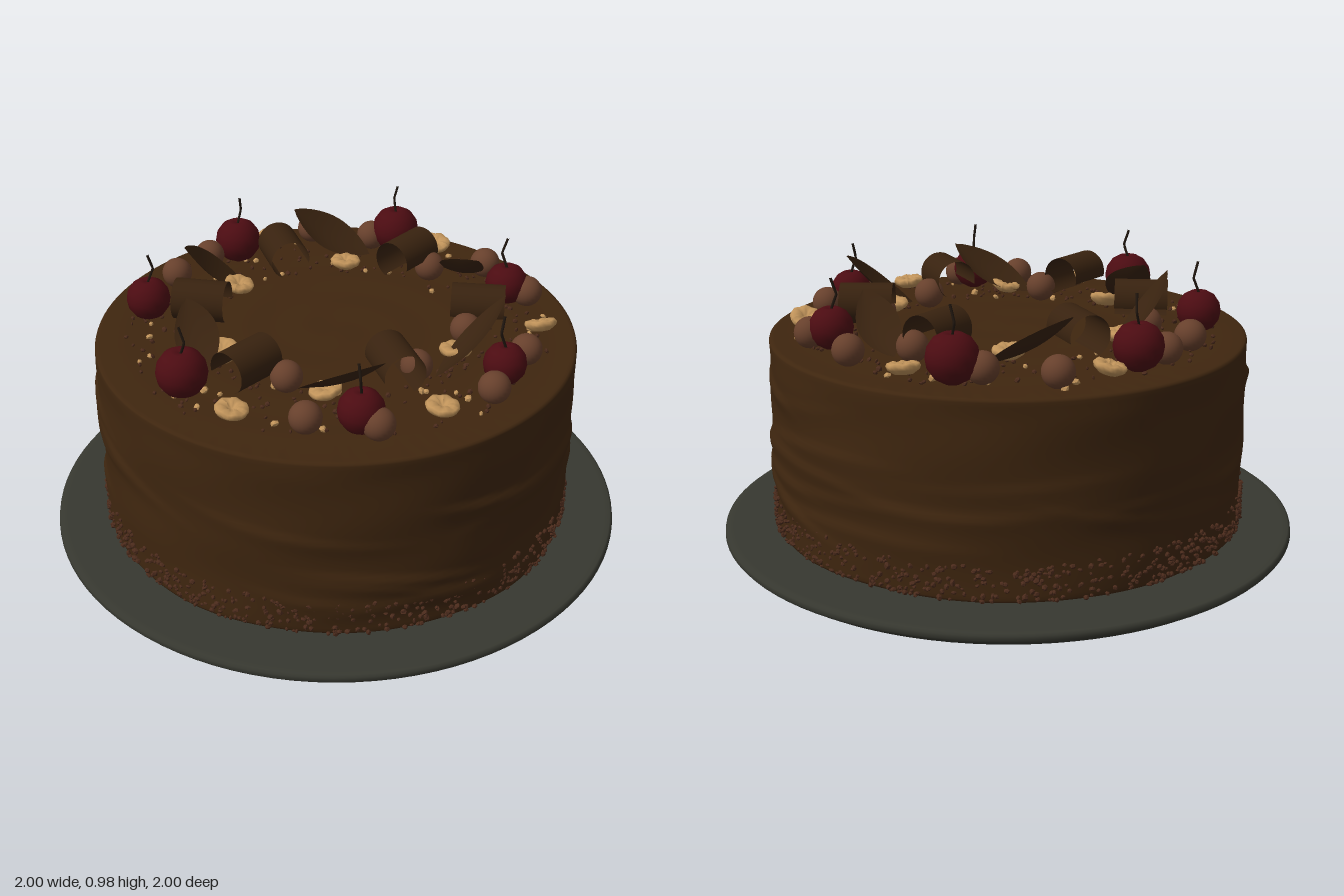
import * as THREE from 'three';
import { mergeGeometries, mergeVertices } from 'three/addons/utils/BufferGeometryUtils.js';

const TOP = 0.725; // height of the frosted top

function seeded(seed) {
  return () => {
    seed = (seed * 1664525 + 1013904223) % 4294967296;
    return seed / 4294967296;
  };
}

const mat = (name, color, side = THREE.FrontSide) => {
  const m = new THREE.MeshStandardMaterial({ color, side });
  m.name = name;
  return m;
};

export function createModel() {
  const model = new THREE.Group();
  model.name = 'chocolateCake';
  const frosting = mat('chocolate frosting', 0x3f260f);
  const slate = mat('slate grey', 0x373830);
  const cherryRed = mat('cherry red', 0x4c0c12);
  const stemBrown = mat('stem brown', 0x21170f);
  const milkChocolate = mat('milk chocolate', 0x67402c);
  const crumbBrown = mat('crumb brown', 0x4a2a1b);
  const nutTan = mat('nut tan', 0xc0935a);
  const darkChocolate = mat('dark chocolate', 0x38220f, THREE.DoubleSide);

  const add = (name, geometry, material, parent = model) => {
    const mesh = new THREE.Mesh(geometry, material);
    mesh.name = name;
    parent.add(mesh);
    return mesh;
  };
  const lathe = (pts, seg) => new THREE.LatheGeometry(pts.map(p => new THREE.Vector2(...p)), seg);

  // Plate: pairs of close points keep the rim crisp
  add('plate', lathe([[0, 0], [0.945, 0], [0.955, 0.002], [0.992, 0.026], [1, 0.036],
    [0.998, 0.05], [0.99, 0.056], [0.97, 0.056], [0, 0.054]], 96), slate);

  // Cake body with spatula strokes pressed into the side
  const rnd = seeded(11);
  const strokes = Array.from({ length: 34 }, () => ({
    a: rnd() * Math.PI * 2, y: 0.18 + rnd() * 0.42, len: 0.3 + rnd() * 0.4,
    slope: (rnd() - 0.5) * 0.35, bend: (rnd() - 0.5) * 0.4, h: 0.004 + rnd() * 0.007,
  }));
  const relief = (a, y) => {
    let sum = 0.002 * Math.sin(a * 9 + y * 14) + 0.002 * Math.sin(a * 5 - y * 23);
    for (const s of strokes) {
      const t = Math.atan2(Math.sin(a - s.a), Math.cos(a - s.a));
      if (Math.abs(t) > s.len) continue;
      const d = y - s.y - s.slope * t - s.bend * t * t;
      const fade = Math.cos((t / s.len) * Math.PI / 2) ** 2;
      sum += s.h * fade * Math.exp(-((d / (d > 0 ? 0.012 : 0.04)) ** 2));
    }
    return Math.min(sum, 0.012);
  };
  const profile = [[0, 0.07], [0.4, 0.07], [0.805, 0.07], [0.815, 0.072]];
  for (let i = 0; i <= 44; i++) profile.push([0.818, 0.08 + (0.635 * i) / 44]);
  profile.push([0.816, 0.721], [0.81, TOP], [0.8, TOP]);
  for (let i = 15; i >= 0; i--) profile.push([0.05 * i, TOP]);
  let cake = lathe(profile, 240);
  cake.deleteAttribute('uv');
  cake.deleteAttribute('normal');
  cake = mergeVertices(cake, 1e-5);
  const pos = cake.attributes.position;
  for (let i = 0; i < pos.count; i++) {
    const x = pos.getX(i), y = pos.getY(i), z = pos.getZ(i);
    const r = Math.hypot(x, z), a = Math.atan2(x, z);
    if (r > 0.8) {
      const k = 1 + relief(a, y) * Math.min(1, (TOP - y) * 14) / r;
      pos.setXYZ(i, x * k, y, z * k);
    } else if (y > 0.5 && r > 0.01) {
      pos.setY(i, y + 0.002 * Math.sin(r * 30 + a)); // swirl on the top
    }
  }
  cake.computeVertexNormals();
  add('cakeBody', cake, frosting);

  // Crumbs: many small lumps merged into one mesh
  const scatter = (name, count, material, place) => {
    const bits = [];
    for (let i = 0; i < count; i++) {
      const { p, s } = place();
      const g = new THREE.IcosahedronGeometry(1, 0);
      g.scale(s, s * (0.55 + 0.4 * rnd()), s * (0.6 + 0.6 * rnd()));
      g.rotateX(rnd() * 6).rotateY(rnd() * 6).translate(...p);
      bits.push(g);
    }
    add(name, mergeGeometries(bits), material);
  };
  const ring = (r, y) => {
    const a = rnd() * Math.PI * 2;
    return [r * Math.cos(a), y, r * Math.sin(a)];
  };
  scatter('baseCrumbs', 1000, crumbBrown, () => ({
    p: ring(0.82, 0.076 + 0.12 * rnd() ** 1.3), s: 0.007 + 0.005 * rnd() }));
  scatter('topCrumbs', 260, crumbBrown, () => ({
    p: ring(0.42 + 0.3 * rnd(), TOP + 0.005), s: 0.006 + 0.005 * rnd() }));
  scatter('nutFlakes', 45, nutTan, () => ({
    p: ring(0.42 + 0.32 * rnd(), TOP + 0.006), s: 0.008 + 0.008 * rnd() }));

  // Cherries with bent stems: x, z, radius
  const cherryShape = lathe([[0, -0.96], [0.3, -0.94], [0.68, -0.72], [0.93, -0.36], [1, 0.02],
    [0.93, 0.4], [0.7, 0.74], [0.38, 0.92], [0.14, 0.9], [0, 0.8]], 28);
  [[-0.64, -0.13, 0.075], [-0.33, -0.56, 0.082], [0.26, -0.615, 0.085], [0.61, -0.17, 0.074],
    [0.52, 0.375, 0.071], [0.04, 0.635, 0.075], [-0.51, 0.39, 0.084]].forEach(([x, z, r], i) => {
    const cherry = new THREE.Group();
    cherry.name = 'cherry';
    cherry.position.set(x, TOP + r * 0.94, z);
    add('cherryFruit', cherryShape, cherryRed, cherry).scale.setScalar(r);
    const stem = new THREE.CurvePath();
    const pts = [[0, 0.8 * r, 0], [0.022, 0.115, 0], [0.006, 0.17, 0.008]].map(p => new THREE.Vector3(...p));
    stem.add(new THREE.LineCurve3(pts[0], pts[1]));
    stem.add(new THREE.LineCurve3(pts[1], pts[2]));
    add('cherryStem', new THREE.TubeGeometry(stem, 8, 0.0045, 6), stemBrown, cherry);
    cherry.rotation.y = i * 0.9;
    model.add(cherry);
  });

  // Chocolate balls: x, z
  const ball = new THREE.SphereGeometry(0.053, 24, 16);
  [[-0.05, -0.705], [-0.435, -0.5], [-0.55, -0.36], [-0.445, -0.18], [0.565, -0.375], [0.17, -0.63],
    [0.465, -0.055], [0.43, 0.11], [0.61, 0.26], [0.47, 0.49], [-0.13, 0.63], [-0.18, 0.385],
    [0.24, 0.34], [0.09, 0.68], [0.68, -0.145], [0.36, -0.36]].forEach(([x, z]) =>
    add('chocolateBall', ball, milkChocolate).position.set(x, TOP + 0.05, z));

  // Halved nuts with scored faces: x, z
  const nut = lathe([[0, -0.026], [0.03, -0.022], [0.05, -0.008], [0.055, 0.004], [0.05, 0.012],
    [0.036, 0.015], [0.02, 0.012], [0.012, 0.004], [0, 0.002]], 28);
  const np = nut.attributes.position;
  for (let i = 0; i < np.count; i++) {
    const r = Math.hypot(np.getX(i), np.getZ(i));
    if (np.getY(i) > 0 && r > 0.015) {
      const a = Math.atan2(np.getX(i), np.getZ(i));
      np.setY(i, np.getY(i) + 0.003 * Math.sin(a * 7 + r * 60));
    }
  }
  nut.computeVertexNormals();
  [[-0.22, -0.65], [0.405, -0.56], [0.69, 0.08], [0.295, 0.58], [-0.355, 0.56], [0.06, -0.43],
    [-0.33, -0.27], [-0.385, 0.2], [0.38, 0.235], [-0.06, 0.465]].forEach(([x, z], i) => {
    const m = add('nutHalf', nut, nutTan);
    m.position.set(x, TOP + 0.042, z);
    m.rotation.set(0.25 * Math.sin(i * 2.1), i, 0.25 * Math.cos(i * 1.7));
  });

  // Rolled chocolate curls lying radially: x, z
  const curl = new THREE.CylinderGeometry(0.07, 0.07, 0.18, 28, 1, true, -0.25, 4.5);
  curl.rotateZ(Math.PI / 2);
  [[-0.165, -0.42], [0.28, -0.37], [0.48, 0.03], [0.165, 0.4], [-0.305, 0.375], [-0.455, -0.055]]
    .forEach(([x, z]) => {
      const m = add('chocolateCurl', curl, darkChocolate);
      m.position.set(x, TOP + 0.098, z);
      m.rotation.y = -Math.atan2(z, x) - 0.12;
    });

  // Curved chocolate leaves spanning from a low tip to a high tip
  const leaf = (a, b, width) => {
    const A = new THREE.Vector3(...a), B = new THREE.Vector3(...b);
    const along = B.clone().sub(A).normalize();
    const across = new THREE.Vector3().crossVectors(along, new THREE.Vector3(0, 1, 0)).normalize();
    const up = new THREE.Vector3().crossVectors(across, along);
    across.addScaledVector(up, 0.5).normalize();
    const g = new THREE.PlaneGeometry(1, 1, 6, 16);
    const p = g.attributes.position;
    for (let i = 0; i < p.count; i++) {
      const u = p.getX(i) * 2, t = p.getY(i) + 0.5;
      const half = (width / 2) * Math.sin(Math.PI * t) ** 0.8;
      const v = A.clone().lerp(B, t).addScaledVector(across, u * half)
        .addScaledVector(up, 0.02 * u * u * Math.sin(Math.PI * t) - 0.025 * Math.sin(Math.PI * t));
      p.setXYZ(i, v.x, Math.max(v.y, TOP + 0.004), v.z);
    }
    g.computeVertexNormals();
    add('chocolateLeaf', g, darkChocolate);
  };
  leaf([0.3, 0.74, 0.36], [0.54, 0.95, 0.21], 0.17);
  leaf([-0.31, 0.74, -0.34], [-0.51, 0.955, -0.19], 0.16);
  leaf([-0.145, 0.75, 0.42], [0.12, 0.91, 0.55], 0.14);
  leaf([0.155, 0.75, -0.52], [-0.12, 0.91, -0.58], 0.15);
  leaf([0.42, 0.75, -0.39], [0.5, 0.91, -0.12], 0.14);
  leaf([-0.43, 0.75, 0.31], [-0.5, 0.91, 0.09], 0.15);

  return model;
}
